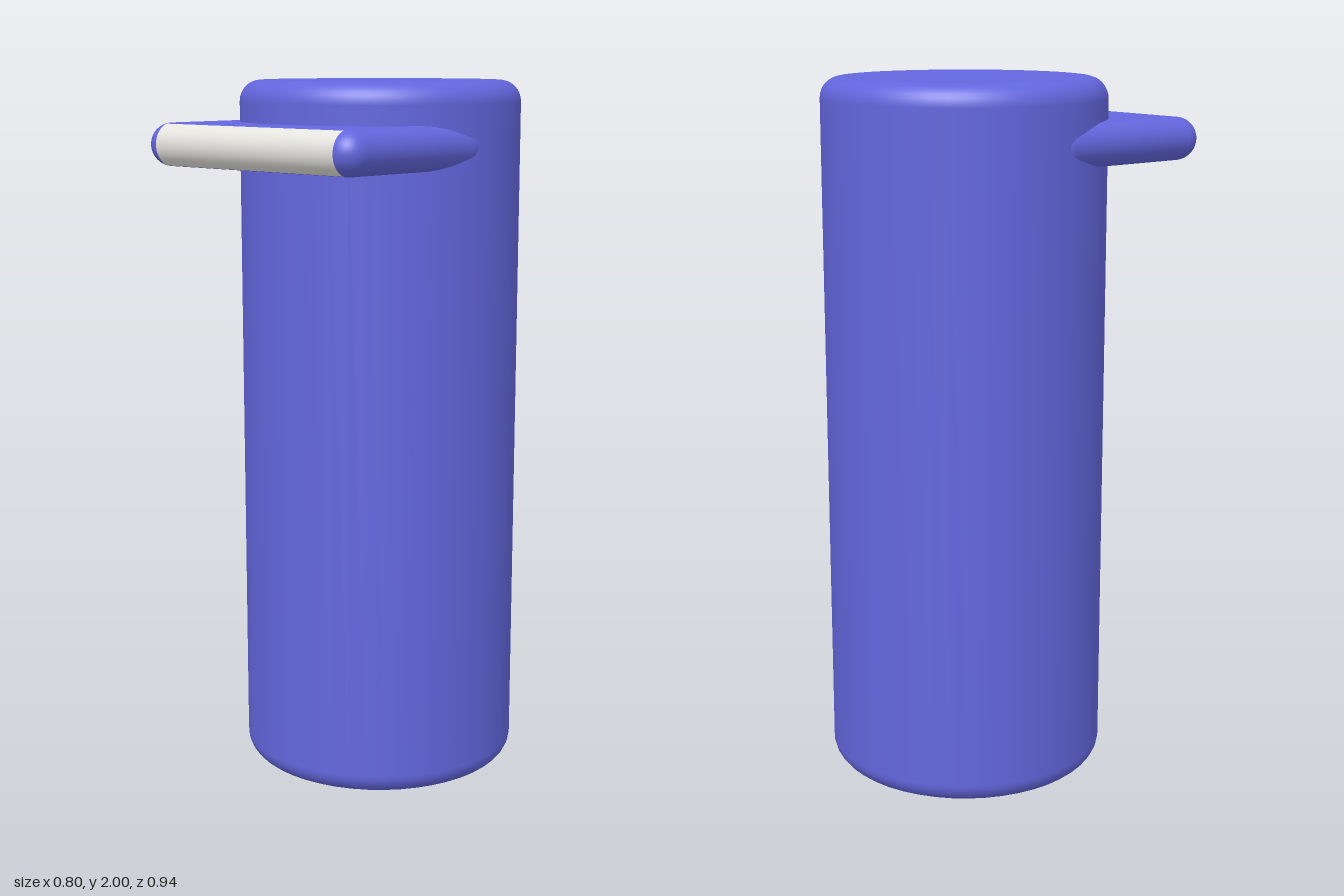
import * as THREE from 'three';
import { RoundedBoxGeometry } from 'three/addons/geometries/RoundedBoxGeometry.js';

const RADIUS = 0.398, HEIGHT = 2, ROUND = 0.06, BODY_Z = -0.075;
const FRONT_Z = 0.47, LEDGE_Y = 1.825;

function roundedCylinder(radius, height, round, sides) {
  const points = [new THREE.Vector2(0, 0), new THREE.Vector2(radius - round - 0.01, 0)];
  const steps = 8;
  // Quarter arcs at the bottom and top rims
  for (const [cy, start] of [[round, -Math.PI / 2], [height - round, 0]]) {
    for (let i = 0; i <= steps; i++) {
      const a = start + (i / steps) * Math.PI / 2;
      points.push(new THREE.Vector2(radius - round + round * Math.cos(a), cy + round * Math.sin(a)));
    }
  }
  points.push(new THREE.Vector2(radius - round - 0.01, height), new THREE.Vector2(0, height));
  return new THREE.LatheGeometry(points, sides);
}

export function createModel() {
  const group = new THREE.Group();
  const blue = new THREE.MeshStandardMaterial({ name: 'blue', color: 0x6366dd });
  const paleGrey = new THREE.MeshStandardMaterial({ name: 'paleGrey', color: 0xe6e4df });

  const add = (name, geometry, material, y, z) => {
    const mesh = new THREE.Mesh(geometry, material);
    mesh.name = name;
    mesh.position.set(0, y, z);
    group.add(mesh);
    return mesh;
  };

  // Upright body with softened rims
  add('body', roundedCylinder(RADIUS, HEIGHT, ROUND, 48), blue, 0, BODY_Z);

  // Ledge running from the middle of the body out to the front
  const depth = FRONT_Z - BODY_Z;
  add('ledge', new RoundedBoxGeometry(RADIUS * 2, ROUND * 2, depth, 6, ROUND),
    blue, LEDGE_Y, FRONT_Z - depth / 2);

  // Pale strip wrapped round the ledge's front edge
  const wrap = THREE.MathUtils.degToRad(140);
  const strip = new THREE.CylinderGeometry(ROUND + 0.001, ROUND + 0.001, 0.676, 20, 1, true, -wrap / 2, wrap);
  strip.rotateZ(Math.PI / 2);
  add('frontStrip', strip, paleGrey, LEDGE_Y, FRONT_Z - ROUND);

  return group;
}
